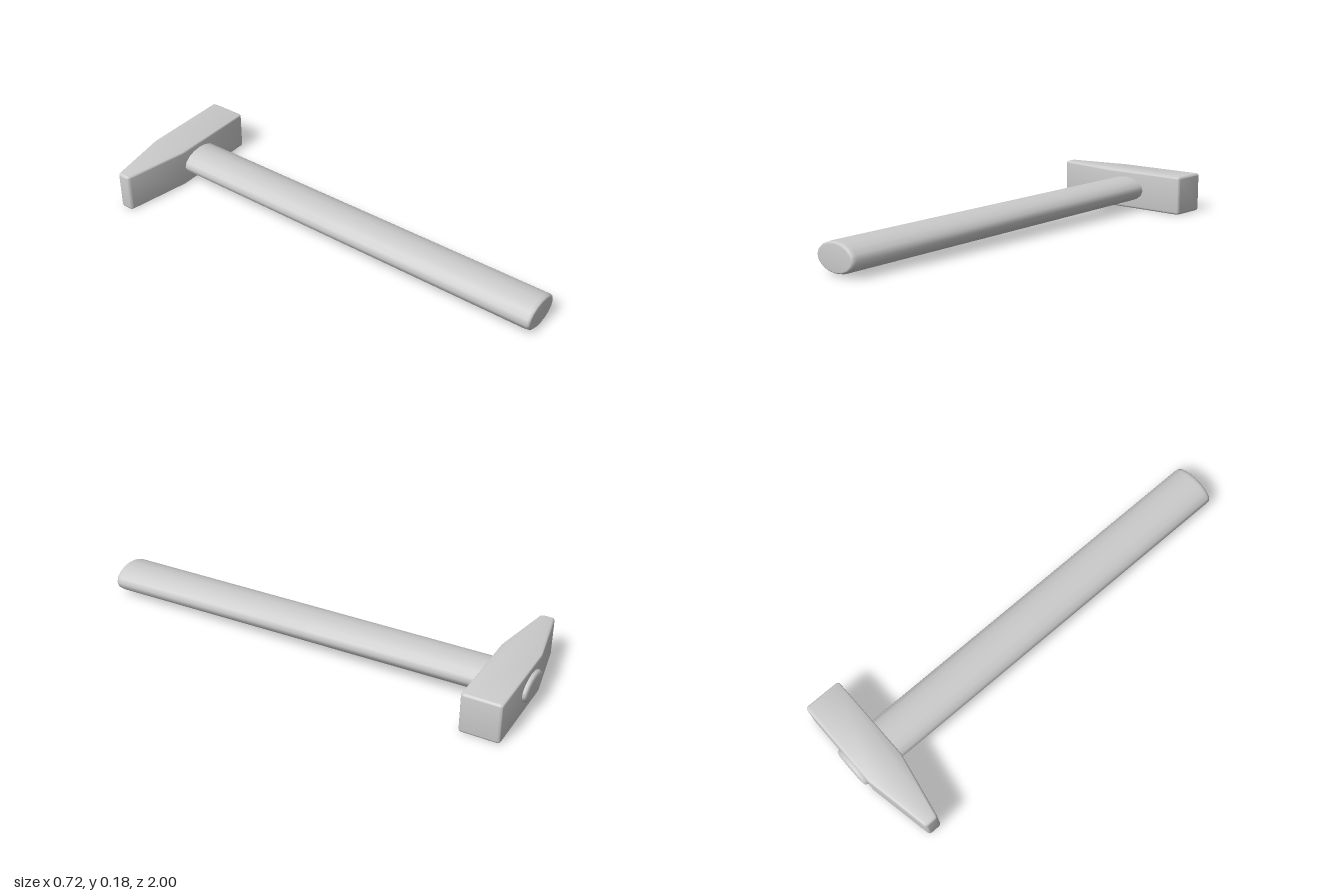
import * as THREE from 'three';
import { mergeVertices, toCreasedNormals } from 'three/addons/utils/BufferGeometryUtils.js';

const material = new THREE.MeshStandardMaterial({ color: 0xcccccc });

// Closed shape whose corners are rounded by each point's own radius [x, y, r]
function roundedShape(corners) {
  const shape = new THREE.Shape();
  const n = corners.length;
  const pts = corners.map(([x, y]) => new THREE.Vector2(x, y));
  const toward = (a, b, r) => a.clone().add(b.clone().sub(a).setLength(r));
  pts.forEach((p, i) => {
    const r = corners[i][2];
    const start = r ? toward(p, pts[(i + n - 1) % n], r) : p;
    if (i === 0) shape.moveTo(start.x, start.y);
    else shape.lineTo(start.x, start.y);
    if (r) {
      const end = toward(p, pts[(i + 1) % n], r);
      shape.quadraticCurveTo(p.x, p.y, end.x, end.y);
    }
  });
  shape.closePath();
  return shape;
}

// Head: square block tapering to a wedge peen, all edges softened
function createHead() {
  const height = 0.178, bevel = 0.011, r = 0.014;
  const outline = roundedShape([
    [0.357, 0.807, r], [0.357, 0.981, r], [-0.06, 0.981, 0],
    [-0.36, 0.925, r], [-0.36, 0.863, r], [-0.06, 0.807, 0],
  ]);
  const geometry = new THREE.ExtrudeGeometry(outline, {
    depth: height - 2 * bevel, curveSegments: 4,
    bevelThickness: bevel, bevelSize: bevel, bevelOffset: -bevel, bevelSegments: 4,
  });
  geometry.rotateX(-Math.PI / 2).translate(0, bevel, 0);
  const mesh = new THREE.Mesh(toCreasedNormals(geometry, 0.6), material);
  mesh.name = 'head';
  return mesh;
}

// Handle: oval bar, slightly rising and thinning toward the head, poking out behind it
function createHandle() {
  const profile = [
    [0, -1], [0.7, -1], [0.87, -0.997], [0.93, -0.991], [0.95, -0.982], [0.97, -0.96],
    [1, -0.8], [1, 0], [1, 0.978], [0.985, 0.988], [0.94, 0.996], [0.86, 1], [0, 1],
  ].map(([r, y]) => new THREE.Vector2(r, y));
  let geometry = new THREE.LatheGeometry(profile, 16);
  geometry.rotateX(Math.PI / 2);
  const pos = geometry.attributes.position;
  for (let i = 0; i < pos.count; i++) {
    const t = (1 - pos.getZ(i)) / 2;
    pos.setX(i, 0.051 + pos.getX(i) * THREE.MathUtils.lerp(0.1065, 0.102, t));
    pos.setY(i, THREE.MathUtils.lerp(0.069, 0.094, t) + pos.getY(i) * THREE.MathUtils.lerp(0.0625, 0.058, t));
  }
  geometry.deleteAttribute('uv');
  geometry.deleteAttribute('normal');
  geometry = mergeVertices(geometry, 1e-5);
  geometry.computeVertexNormals();
  const mesh = new THREE.Mesh(geometry, material);
  mesh.name = 'handle';
  return mesh;
}

export function createModel() {
  const model = new THREE.Group();
  model.name = 'hammer';
  model.add(createHead(), createHandle());
  return model;
}
